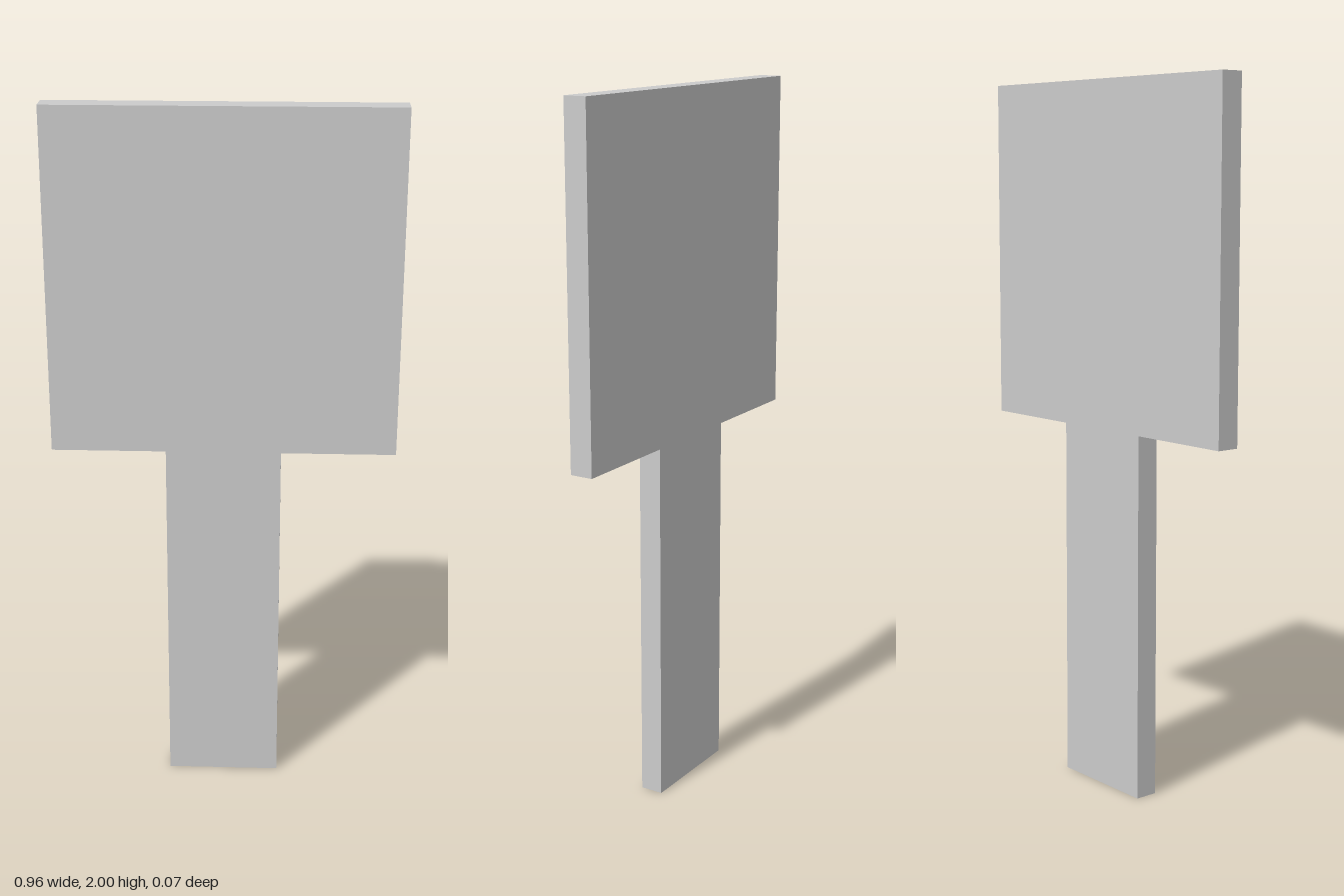
import * as THREE from 'three';

const HEAD_HALF = 0.481;
const HANDLE_HALF = 0.161;
const HEAD_BOTTOM = 1.038;
const HEIGHT = 2;
const THICKNESS = 0.066;

export function createModel() {
  const group = new THREE.Group();
  group.name = 'paddle';

  // Right half of the outline, bottom to top, then mirrored for the left half
  const half = [
    [HANDLE_HALF, 0],
    [HANDLE_HALF, HEAD_BOTTOM],
    [HEAD_HALF, HEAD_BOTTOM],
    [HEAD_HALF, HEIGHT],
  ];
  const mirrored = half.map(([x, y]) => [-x, y]).reverse();
  const outline = new THREE.Shape([...half, ...mirrored].map(([x, y]) => new THREE.Vector2(x, y)));

  // Flat board: square head and straight handle cut from one sheet
  const geometry = new THREE.ExtrudeGeometry(outline, { depth: THICKNESS, bevelEnabled: false });
  geometry.translate(0, 0, -THICKNESS / 2);

  const board = new THREE.Mesh(geometry, new THREE.MeshStandardMaterial({ color: 0xcccccc }));
  board.name = 'headAndHandle';
  group.add(board);
  return group;
}
